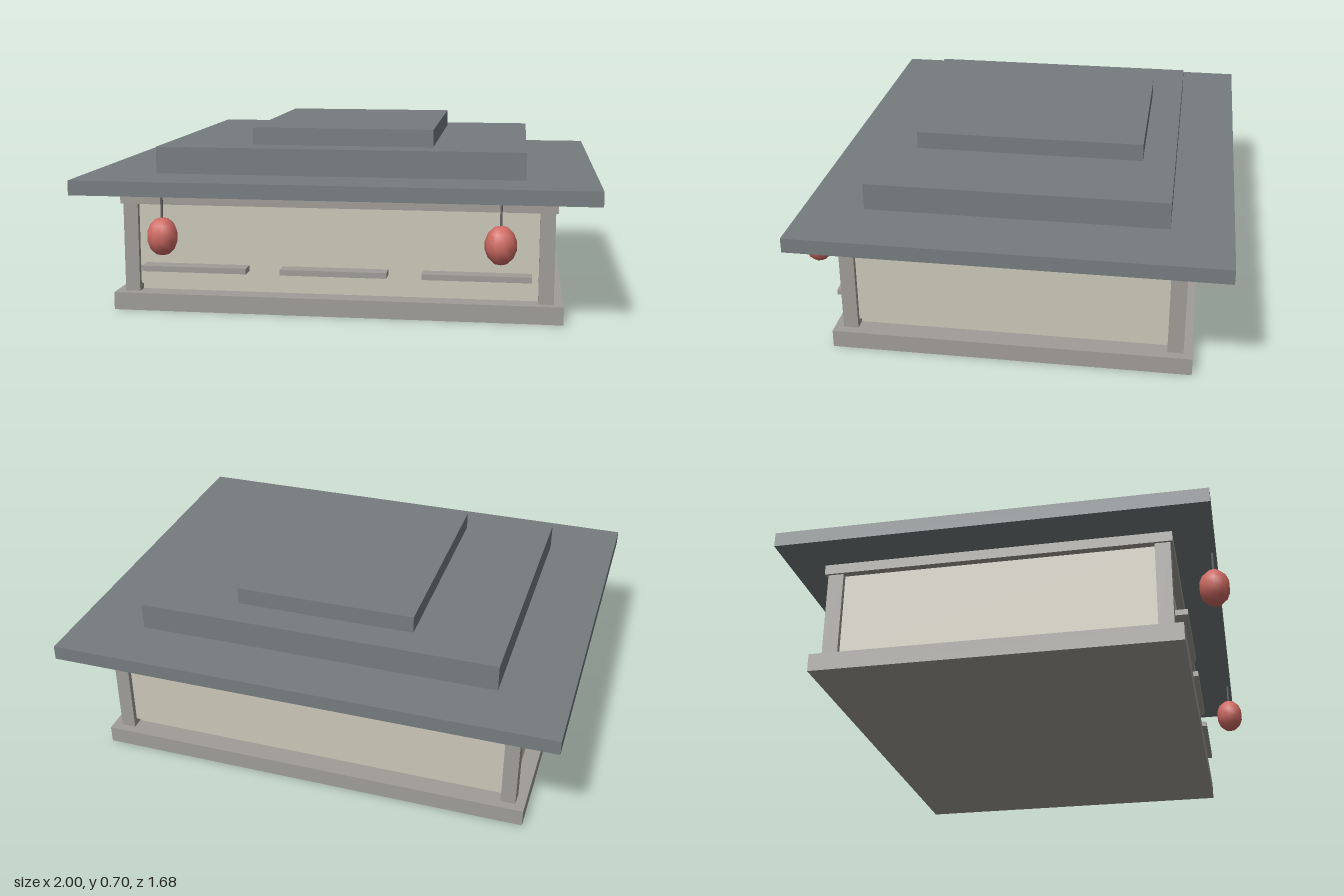
import * as THREE from 'three';

export function createModel() {
  const model = new THREE.Group();
  model.name = 'pavilion';

  const mat = (name, color) => {
    const m = new THREE.MeshStandardMaterial({ color });
    m.name = name;
    return m;
  };
  const slate = mat('slate roof', 0x767c7f);
  const timber = mat('grey timber', 0xa09d98);
  const plaster = mat('pale plaster', 0xcbc7b9);
  const red = mat('lantern red', 0xcf6a63);
  const dark = mat('dark cord', 0x666666);

  // Box given by its extents on each axis
  const box = (name, material, [x0, x1], [y0, y1], [z0, z1]) => {
    const mesh = new THREE.Mesh(new THREE.BoxGeometry(x1 - x0, y1 - y0, z1 - z0), material);
    mesh.position.set((x0 + x1) / 2, (y0 + y1) / 2, (z0 + z1) / 2);
    mesh.name = name;
    model.add(mesh);
  };

  // Plinth, body and top trim
  box('plinth', timber, [-0.875, 0.875], [0, 0.069], [-0.713, 0.673]);
  box('body', plaster, [-0.79, 0.79], [0.069, 0.42], [-0.63, 0.59]);
  box('topTrim', timber, [-0.847, 0.847], [0.42, 0.46], [-0.69, 0.647]);

  // Corner posts
  for (const [x0, x1] of [[-0.838, -0.78], [0.78, 0.838]]) {
    for (const [z0, z1] of [[-0.678, -0.617], [0.58, 0.638]]) {
      box('cornerPost', timber, [x0, x1], [0.069, 0.42], [z0, z1]);
    }
  }

  // Wall panels between the posts, standing proud of the body
  const panelY = [0.097, 0.42];
  box('frontPanel', plaster, [-0.78, 0.78], panelY, [0.58, 0.617]);
  box('backPanel', plaster, [-0.78, 0.78], panelY, [-0.657, -0.62]);
  box('leftPanel', plaster, [0.78, 0.817], panelY, [-0.617, 0.58]);
  box('rightPanel', plaster, [-0.817, -0.78], panelY, [-0.617, 0.58]);

  // Three shelves along the front
  for (const x of [-0.547, 0, 0.547]) {
    box('frontShelf', timber, [x - 0.207, x + 0.207], [0.16, 0.182], [0.61, 0.683]);
  }

  // Stepped roof
  box('roofEaves', slate, [-1, 1], [0.473, 0.53], [-0.838, 0.796]);
  box('roofMiddle', slate, [-0.725, 0.725], [0.53, 0.636], [-0.603, 0.56]);
  box('roofTop', slate, [-0.362, 0.362], [0.636, 0.705], [-0.475, 0.433]);

  // Hanging lanterns with their cords
  for (const x of [-0.637, 0.637]) {
    const lantern = new THREE.Mesh(new THREE.SphereGeometry(1, 10, 7), red);
    lantern.name = 'lantern';
    lantern.scale.set(0.06, 0.074, 0.06);
    lantern.position.set(x, 0.322, 0.782);
    const cord = new THREE.Mesh(new THREE.CylinderGeometry(0.005, 0.005, 0.09, 6), dark);
    cord.name = 'lanternCord';
    cord.position.set(x, 0.435, 0.782);
    model.add(lantern, cord);
  }

  return model;
}
